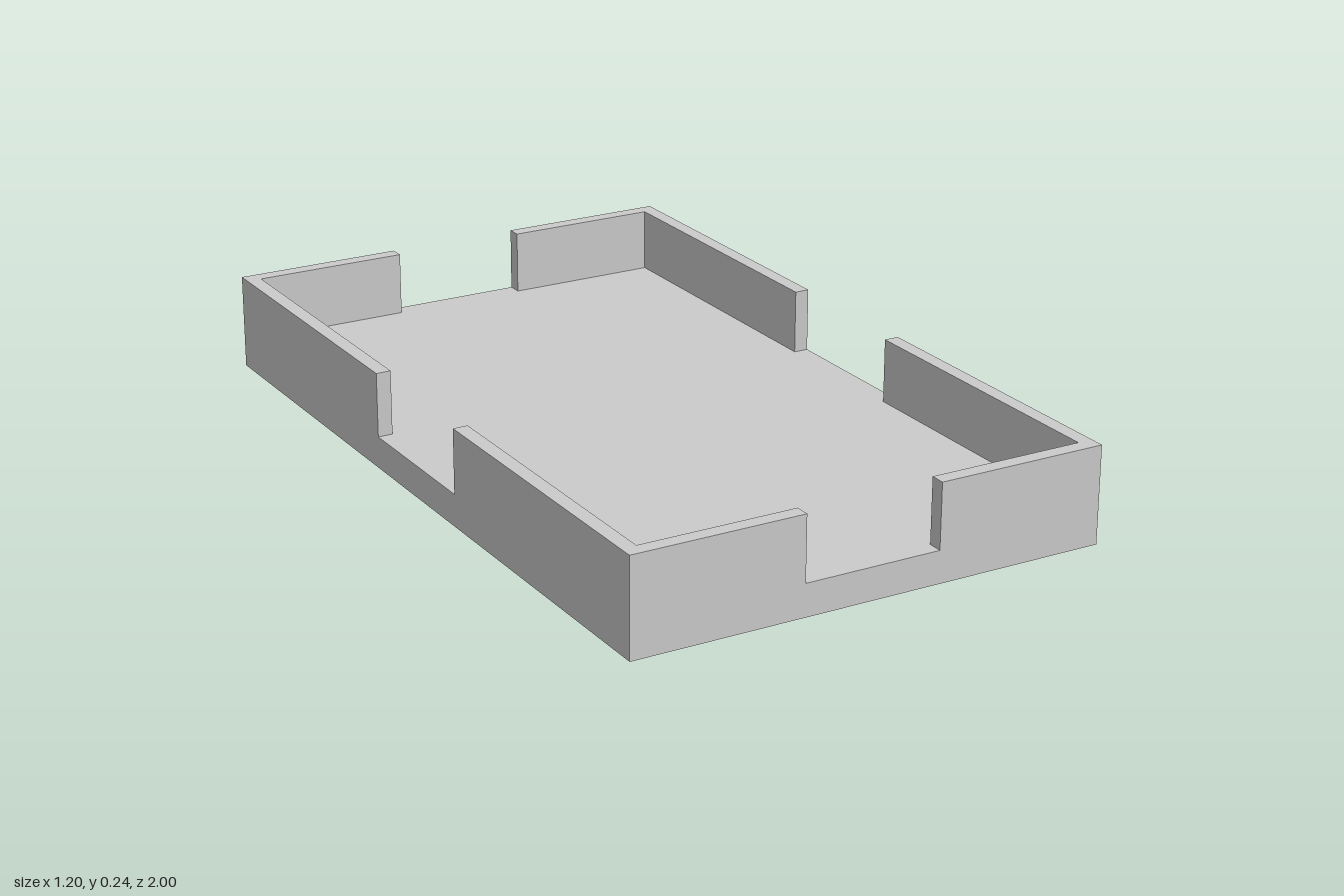
import * as THREE from 'three';

const W = 0.6, D = 1;            // half width and half depth
const FLOOR = 0.08, TOP = 0.24;  // floor and rim heights
const WALL = 0.037;              // wall thickness
const GAP_X = 0.172, GAP_Z = 0.2; // half widths of the wall openings

export function createModel() {
  const group = new THREE.Group();
  group.name = 'tray';
  const material = new THREE.MeshStandardMaterial({ color: 0xcccccc, flatShading: true });

  // Solid floor slab
  const floor = new THREE.Mesh(new THREE.BoxGeometry(2 * W, FLOOR, 2 * D), material);
  floor.name = 'floor';
  floor.position.y = FLOOR / 2;
  group.add(floor);

  // L-shaped corner walls, leaving an opening in the middle of each side
  const profile = [
    [GAP_X, D], [W, D], [W, GAP_Z],
    [W - WALL, GAP_Z], [W - WALL, D - WALL], [GAP_X, D - WALL],
  ];
  for (const sx of [1, -1]) {
    for (const sz of [1, -1]) {
      // The shape's y becomes -z once laid flat
      const shape = new THREE.Shape(profile.map(([x, z]) => new THREE.Vector2(sx * x, -sz * z)));
      const geometry = new THREE.ExtrudeGeometry(shape, { depth: TOP - FLOOR, bevelEnabled: false });
      geometry.rotateX(-Math.PI / 2);
      const wall = new THREE.Mesh(geometry, material);
      wall.name = `${sz > 0 ? 'front' : 'back'}${sx > 0 ? 'Left' : 'Right'}CornerWall`;
      wall.position.y = FLOOR;
      group.add(wall);
    }
  }
  return group;
}
